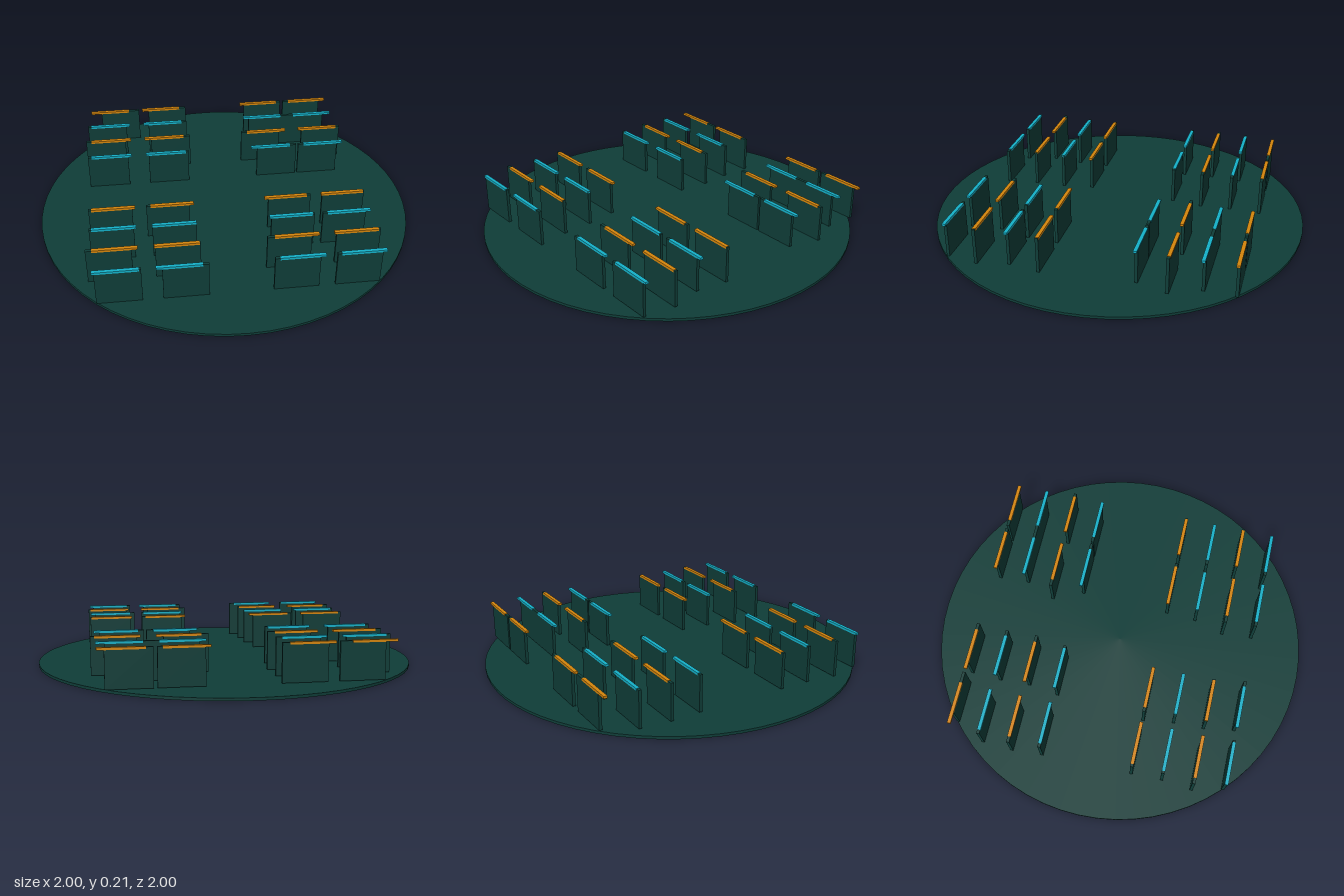
import * as THREE from 'three';

export function createModel() {
  const root = new THREE.Group();
  const teal = new THREE.MeshStandardMaterial({ color: 0x0f3d38 });
  teal.name = 'dark teal';
  const orange = new THREE.MeshStandardMaterial({ color: 0xd4850c });
  orange.name = 'orange';
  const cyan = new THREE.MeshStandardMaterial({ color: 0x14b0c8 });
  cyan.name = 'cyan';

  const add = (name, geometry, material, x, y, z) => {
    const mesh = new THREE.Mesh(geometry, material);
    mesh.name = name;
    mesh.position.set(x, y, z);
    root.add(mesh);
  };

  // Round base plate
  add('base', new THREE.CylinderGeometry(1, 1, 0.014, 64), teal, 0, 0.007, 0);

  // Four blocks of upright panels, each with a coloured strip along the top
  const panel = new THREE.BoxGeometry(0.225, 0.194, 0.016);
  const strip = new THREE.BoxGeometry(0.225, 0.012, 0.019);
  const columns = [-0.603, -0.298, 0.3, 0.602];
  const rows = [-0.75, -0.588, -0.426, -0.263, 0.224, 0.387, 0.55, 0.712];
  // Sideways shift of each panel under its strip, row by row
  const shifts = [
    [0.06, 0.037, 0.025, -0.035],
    [-0.02, 0.03, 0.032, -0.045],
    [-0.03, 0.037, -0.035, 0.02],
    [-0.02, 0.015, 0.035, -0.03],
    [-0.015, -0.022, 0.02, 0.005],
    [-0.012, 0, 0.01, -0.025],
    [-0.03, 0.005, -0.037, 0.01],
    [0.01, 0.03, -0.025, -0.02],
  ];
  rows.forEach((z, r) => columns.forEach((x, c) => {
    add('panel', panel, teal, x + shifts[r][c], 0.115, z);
    add('topStrip', strip, r % 2 ? cyan : orange, x, 0.208, z);
  }));
  return root;
}
